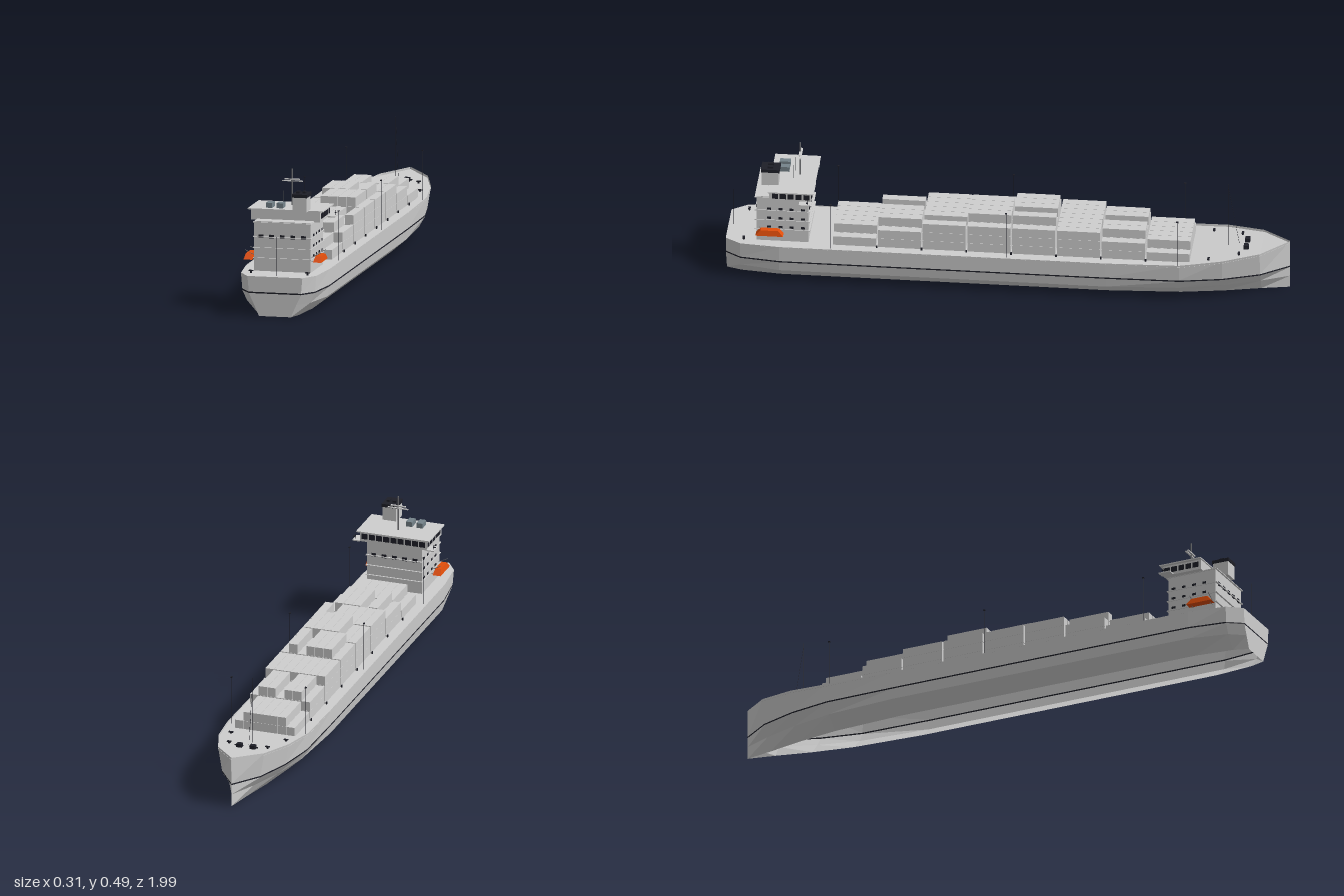
import * as THREE from 'three';

const mat = (name, color, side = THREE.FrontSide) => {
  const m = new THREE.MeshStandardMaterial({ color, side });
  m.name = name;
  return m;
};

export function createModel() {
  const ship = new THREE.Group();
  ship.name = 'cargoShip';
  const grey = mat('lightGrey', 0xcecece);
  const hullGrey = mat('hullGrey', 0xcecece, THREE.DoubleSide);
  const dark = mat('darkTrim', 0x1e1f28);
  const stripeDark = mat('stripeDark', 0x1e1f28, THREE.DoubleSide);
  const orange = mat('lifeboatOrange', 0xe24e0a);
  const teal = mat('tealGrey', 0x75838a);
  const steel = mat('mastGrey', 0x6a6b6e);

  const add = (name, geo, m, parent = ship) => {
    const mesh = new THREE.Mesh(geo, m);
    mesh.name = name;
    parent.add(mesh);
    return mesh;
  };
  // Box given by its min and max on each axis
  const box = (name, m, x0, x1, y0, y1, z0, z1, parent = ship) =>
    add(name, new THREE.BoxGeometry(x1 - x0, y1 - y0, z1 - z0), m, parent)
      .position.set((x0 + x1) / 2, (y0 + y1) / 2, (z0 + z1) / 2);
  // Thin rod between two points
  const rod = (name, m, a, b, r) => {
    const p = new THREE.Vector3(...a), q = new THREE.Vector3(...b);
    const mesh = add(name, new THREE.CylinderGeometry(r, r, p.distanceTo(q), 6), m);
    mesh.position.copy(p).add(q).multiplyScalar(0.5);
    mesh.quaternion.setFromUnitVectors(new THREE.Vector3(0, 1, 0), q.sub(p).normalize());
  };

  // Hull stations: z, half widths at bottom, chine, side, deck, and top height
  const stations = [
    [0.994, 0.058, 0.078, 0.095, 0.1, 0.142],
    [0.94, 0.075, 0.115, 0.132, 0.137, 0.143],
    [0.8, 0.09, 0.143, 0.15, 0.153, 0.145],
    [-0.36, 0.09, 0.143, 0.15, 0.153, 0.145],
    [-0.62, 0.075, 0.125, 0.146, 0.152, 0.15],
    [-0.77, 0.05, 0.09, 0.118, 0.131, 0.164],
    [-0.9, 0.02, 0.045, 0.072, 0.087, 0.176],
    [-1.0, 0, 0, 0, 0.001, 0.186],
  ];
  const ring = ([z, b, c, s, d, top]) => [[b, 0, z], [c, 0.045, z], [s, 0.081, z], [s, 0.086, z], [d, top, z]];
  const flip = ([x, y, z]) => [-x, y, z];
  const surface = (name, quads, m) => {
    const g = new THREE.BufferGeometry();
    const pos = quads.flatMap(([a, b, c, d]) => [a, b, c, a, c, d]).flat();
    g.setAttribute('position', new THREE.Float32BufferAttribute(pos, 3));
    g.computeVertexNormals();
    return add(name, g, m);
  };
  // Hull shell is open underneath; the deck sits inside it
  const rings = stations.map(ring);
  const plating = [], stripe = [], deck = [];
  const onDeck = ([x, y, z]) => [x, z < -0.6 ? y - 0.008 : 0.142, z];
  for (let i = 0; i < rings.length - 1; i++) {
    const A = rings[i], B = rings[i + 1];
    for (let r = 0; r < 4; r++) {
      const q = [A[r], B[r], B[r + 1], A[r + 1]];
      (r === 2 ? stripe : plating).push(q, q.map(flip).reverse());
    }
    const a = onDeck(A[4]), b = onDeck(B[4]);
    deck.push([a, b, flip(b), flip(a)]);
  }
  for (let r = 0; r < 4; r++) {
    const [p, q] = [rings[0][r], rings[0][r + 1]];
    (r === 2 ? stripe : plating).push([flip(p), p, q, flip(q)]);
  }
  surface('hull', plating, hullGrey);
  surface('hullStripe', stripe, stripeDark);
  surface('deck', deck, hullGrey);

  // Container stacks: eight bays, seven columns
  const cargo = new THREE.Group();
  cargo.name = 'containers';
  ship.add(cargo);
  const bays = [2, 3, 3, 4, 4, 3, 3, 2], bay = 0.159, col = 0.0323, tier = 0.0345;
  bays.forEach((tiers, i) => {
    const z1 = 0.615 - i * bay, z0 = z1 - bay;
    for (let c = 0; c < 7; c++) {
      const edge = c === 0 || c === 6;
      const n = tiers - (edge && i !== 2 && i !== 5 ? 1 : 0) - ((c * 3 + i * 5) % 7 === 4 && !edge ? 1 : 0);
      for (let t = 0; t < n; t++) {
        const x = (c - 3.5) * col, y = 0.1425 + t * tier;
        box('container', grey, x + 0.0006, x + col - 0.0006, y, y + tier - 0.0006, z0 + 0.003, z1 - 0.003, cargo);
      }
    }
    if (i) {
      box('lashingBar', grey, -0.119, 0.119, 0.143, 0.15, z1 - 0.002, z1 + 0.002, cargo);
      for (const s of [-1, 1])
        box('lashingFoot', dark, s * 0.119 - 0.002, s * 0.119 + 0.002, 0.142, 0.151, z1 - 0.003, z1 + 0.003, cargo);
    }
  });

  // Accommodation block with deck ledges and windows
  box('house', grey, -0.103, 0.103, 0.142, 0.32, 0.7, 0.885);
  for (const y of [0.188, 0.225, 0.264, 0.316])
    box('deckLedge', grey, -0.106, 0.106, y - 0.0015, y + 0.0015, 0.694, 0.891);
  for (let i = -2; i <= 2; i++) {
    const x = i * 0.0385;
    box('rearWindow', dark, x - 0.0085, x + 0.0085, 0.26, 0.273, 0.884, 0.888);
    box('frontWindow', dark, x - 0.0085, x + 0.0085, 0.26, 0.273, 0.697, 0.701);
  }
  for (const s of [-1, 1])
    for (const z of [0.72, 0.76, 0.8, 0.84])
      for (const y of [0.198, 0.234, 0.271])
        box('sideWindow', dark, s * 0.103 - 0.0012, s * 0.103 + 0.0012, y - 0.004, y + 0.004, z - 0.007, z + 0.007);

  // Bridge, windows, roof and wings
  box('bridge', grey, -0.126, 0.126, 0.316, 0.353, 0.69, 0.838);
  box('bridgeRoof', grey, -0.137, 0.137, 0.353, 0.357, 0.68, 0.842);
  for (let i = -4; i <= 4; i++)
    box('bridgeWindow', dark, i * 0.027 - 0.011, i * 0.027 + 0.011, 0.326, 0.346, 0.688, 0.691);
  for (const s of [-1, 1]) {
    for (let i = 0; i < 5; i++) {
      const z = 0.705 + i * 0.028;
      box('bridgeSideWindow', dark, s * 0.126 - 0.0006, s * 0.126 + 0.0006, 0.326, 0.346, z - 0.011, z + 0.011);
    }
    box('bridgeWing', grey, s * 0.139 - 0.014, s * 0.139 + 0.014, 0.316, 0.32, 0.685, 0.73);
    rod('wingLamp', dark, [s * 0.147, 0.32, 0.7], [s * 0.147, 0.337, 0.7], 0.001);
    box('wingRepeater', dark, s * 0.15 - 0.005, s * 0.15 + 0.005, 0.327, 0.329, 0.697, 0.703);
  }

  // Funnel, roof units and radar mast
  box('funnel', grey, 0.033, 0.084, 0.355, 0.408, 0.808, 0.868);
  box('funnelCap', dark, 0.031, 0.086, 0.407, 0.419, 0.805, 0.871);
  for (const x of [0.047, 0.07]) box('exhaustPipe', dark, x - 0.006, x + 0.006, 0.419, 0.426, 0.828, 0.848);
  for (const x of [-0.065, -0.026]) box('roofUnit', teal, x - 0.0115, x + 0.0115, 0.356, 0.375, 0.78, 0.818);
  rod('radarMast', steel, [0, 0.356, 0.74], [0, 0.487, 0.74], 0.0025);
  box('radarBar', grey, -0.028, 0.028, 0.447, 0.451, 0.737, 0.743);
  box('mastYard', grey, -0.038, 0.038, 0.4405, 0.4435, 0.733, 0.739);
  for (const x of [-0.027, 0.027]) rod('antenna', steel, [x, 0.356, 0.76], [x, 0.41, 0.76], 0.0006);

  // Lifeboats with davits: a box with a narrowed top
  for (const s of [-1, 1]) {
    const g = new THREE.BoxGeometry(0.03, 0.02, 0.098);
    const p = g.attributes.position;
    for (let i = 0; i < p.count; i++)
      if (p.getY(i) > 0) p.setXYZ(i, p.getX(i) * 0.7, p.getY(i), p.getZ(i) * 0.65);
    g.computeVertexNormals();
    add('lifeboat', g, orange).position.set(s * 0.1265, 0.19, 0.836);
    for (const z of [0.8, 0.872]) {
      rod('davit', steel, [s * 0.104, 0.196, z], [s * 0.138, 0.213, z], 0.001);
      rod('davitFoot', steel, [s * 0.104, 0.18, z], [s * 0.126, 0.18, z], 0.001);
    }
  }

  // Lamp posts, flagstaff and fore mast
  for (const z of [0.618, -0.005, -0.613])
    for (const s of [-1, 1]) {
      rod('lampPost', dark, [s * 0.139, 0.138, z], [s * 0.139, 0.32, z], 0.0009);
      box('lampHead', dark, s * 0.139 - 0.003, s * 0.139 + 0.003, 0.318, 0.321, z - 0.004, z + 0.004);
    }
  rod('flagstaff', dark, [0, 0.142, 0.975], [0, 0.283, 0.975], 0.0009);
  rod('foreMast', dark, [0, 0.15, -0.78], [0, 0.405, -0.78], 0.0014);
  rod('foreStay', dark, [0, 0.165, -0.82], [0, 0.395, -0.78], 0.0005);

  // Winches and bollards
  for (const s of [-1, 1]) {
    box('winch', dark, s * 0.025 - 0.01, s * 0.025 + 0.01, 0.16, 0.177, -0.856, -0.838);
    rod('winchShaft', dark, [s * 0.012, 0.169, -0.847], [s * 0.043, 0.169, -0.847], 0.0025);
    for (const [x, y, z] of [[0.103, 0.142, 0.93], [0.103, 0.149, -0.72], [0.072, 0.16, -0.825]]) {
      box('bollardPlate', dark, s * x - 0.008, s * x + 0.008, y + 0.007, y + 0.01, z - 0.004, z + 0.004);
      rod('bollard', dark, [s * x, y, z], [s * x, y + 0.008, z], 0.004);
    }
  }
  return ship;
}
